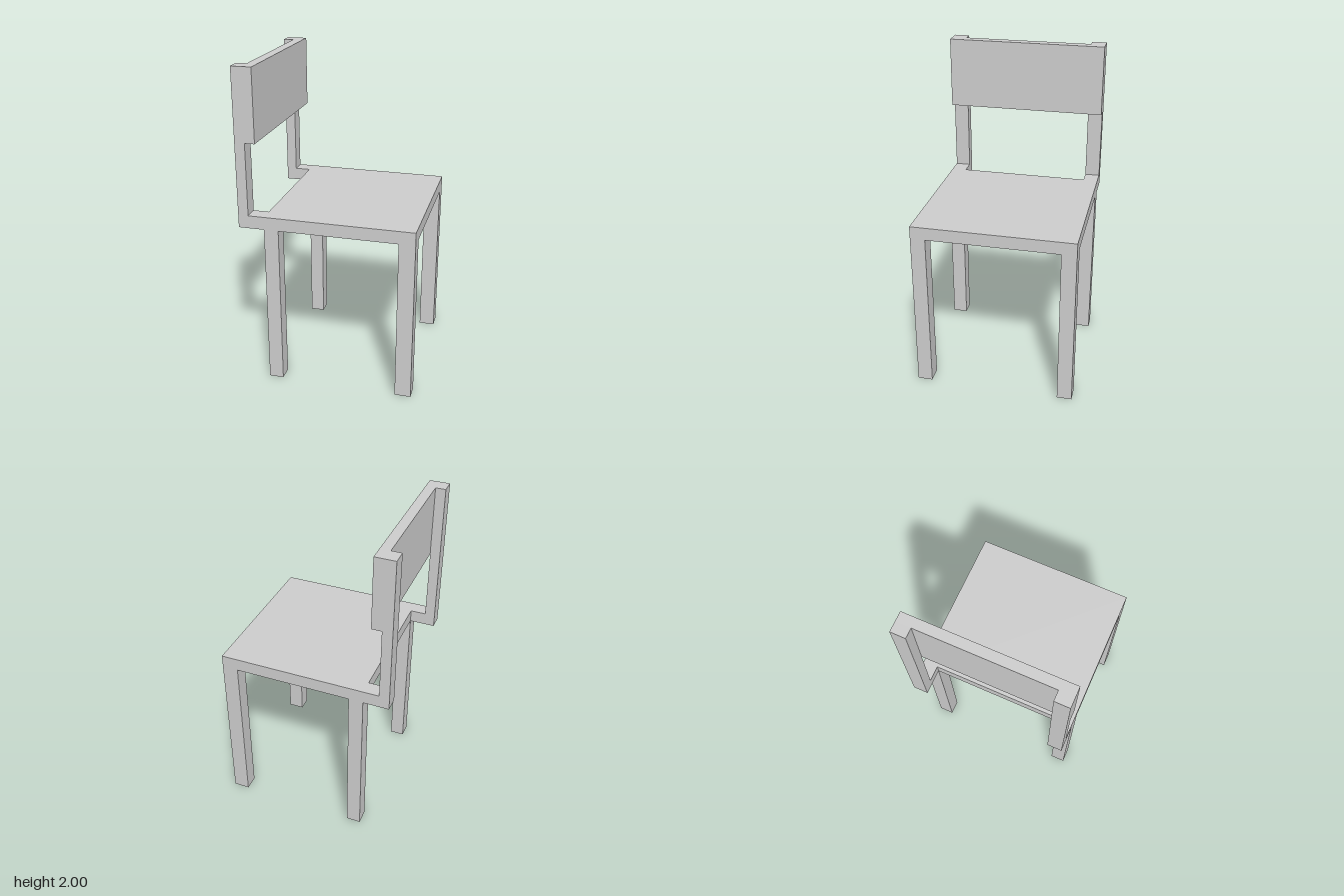
import * as THREE from 'three';

export function createModel() {
  const chair = new THREE.Group();
  chair.name = 'chair';
  const material = new THREE.MeshStandardMaterial({ color: 0xcccccc, flatShading: true });

  const seatBottom = 1.025, seatTop = 1.105, panelBottom = 1.555, top = 2;
  const back = -0.54, front = 0.54, half = 0.503, inner = 0.41;
  const notch = -0.38, postFront = -0.477, panelFront = -0.415;

  function add(name, geometry) {
    const mesh = new THREE.Mesh(geometry, material);
    mesh.name = name;
    chair.add(mesh);
  }

  // Box given by its minimum and maximum on each axis
  function addBox(name, [x0, x1], [y0, y1], [z0, z1]) {
    const geometry = new THREE.BoxGeometry(x1 - x0, y1 - y0, z1 - z0);
    geometry.translate((x0 + x1) / 2, (y0 + y1) / 2, (z0 + z1) / 2);
    add(name, geometry);
  }

  // Seat slab, notched at the back between two arms that carry the posts
  const outline = new THREE.Shape([
    [back, -half], [front, -half], [front, half], [back, half],
    [back, inner], [notch, inner], [notch, -inner], [back, -inner],
  ].map(([x, y]) => new THREE.Vector2(x, y)));
  const seat = new THREE.ExtrudeGeometry(outline, { depth: seatTop - seatBottom, bevelEnabled: false });
  seat.rotateX(-Math.PI / 2).translate(0, seatBottom, 0);
  add('seat', seat);

  // Legs and back posts on both sides
  for (const [side, z] of [['Left', [inner, half]], ['Right', [-half, -inner]]]) {
    addBox('frontLeg' + side, [0.44, front], [0, seatBottom], z);
    addBox('rearLeg' + side, [notch, -0.29], [0, seatBottom], z);
    addBox('backPost' + side, [back, postFront], [seatTop, top], z);
  }

  // Backrest panel in front of the posts
  addBox('backrest', [postFront, panelFront], [panelBottom, top], [-half, half]);

  return chair;
}
